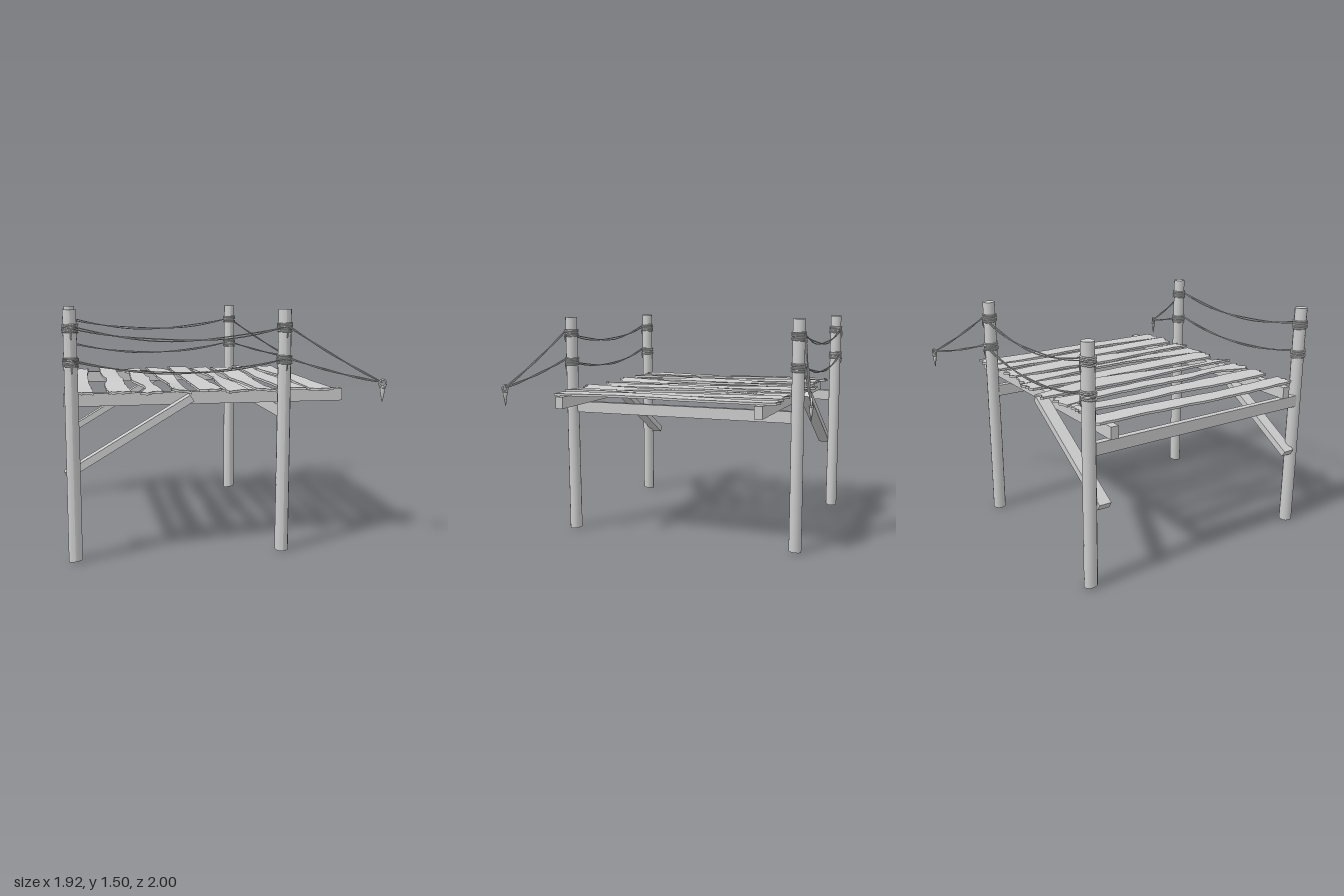
import * as THREE from 'three';

const MID = 0.022; // z centre line of the timber frame
const POST_X = [-0.91, 0.367];
const V = (x, y, z) => new THREE.Vector3(x, y, z);
// repeatable noise in -1..1
const noise = (a, b = 0, c = 0) => {
  const s = Math.sin(a * 12.99 + b * 78.23 + c * 37.72 + 1.3) * 43758.55;
  return (s - Math.floor(s)) * 2 - 1;
};

export function createModel() {
  const model = new THREE.Group();
  const wood = new THREE.MeshStandardMaterial({ color: 0xcccccc });
  const rope = new THREE.MeshStandardMaterial({ color: 0xcccccc });

  const add = (name, geometry, x = 0, y = 0, z = 0, material = wood, parent = model) => {
    const mesh = new THREE.Mesh(geometry, material);
    mesh.name = name;
    mesh.position.set(x, y, z);
    parent.add(mesh);
    return mesh;
  };

  const tube = (name, points, radius, parent) => add(name,
    new THREE.TubeGeometry(new THREE.CatmullRomCurve3(points), 24, radius, 6), 0, 0, 0, rope, parent);

  // Two loosely crossing strands between two points
  const strands = (name, a, b, sag, spread, parent) => {
    for (const k of [-1, 1]) {
      const points = [];
      for (let i = 0; i <= 10; i++) {
        const t = i / 10, p = a.clone().lerp(b, t), hang = 4 * t * (1 - t);
        p.y -= sag * hang;
        p.y += k * spread * Math.cos(t * 8);
        p.z += k * 0.004 * Math.sin(t * 8);
        points.push(p);
      }
      tube(name, points, 0.0038, parent);
    }
  };

  // Round posts, slightly uneven, with a worn foot
  const post = (x, z, id) => {
    const g = new THREE.CylinderGeometry(0.04, 0.042, 1.5, 14, 6);
    const p = g.attributes.position;
    for (let i = 0; i < p.count; i++) {
      const y = p.getY(i), a = Math.atan2(p.getZ(i), p.getX(i));
      const r = 1 + 0.03 * Math.sin(3 * a + id) * Math.cos(y * 3 + id);
      p.setX(i, p.getX(i) * r);
      p.setZ(i, p.getZ(i) * r);
      if (y < -0.74) p.setY(i, y + 0.006 * (1 + Math.sin(a + id)));
    }
    g.computeVertexNormals();
    add('post', g, x, 0.75, z);
  };

  // Rope wound round a post, with a short hanging tail
  const binding = (x, y, z, side, id) => {
    const group = new THREE.Group();
    group.name = 'ropeBinding';
    for (let i = 0; i < 5; i++) {
      const coil = add('ropeCoil', new THREE.TorusGeometry(0.044, 0.0055, 6, 20),
        x, y - 0.024 + i * 0.011, z, rope, group);
      coil.rotation.set(Math.PI / 2 + 0.1 * noise(i, id, y), 0.1 * noise(i, id, y + 1), 0);
    }
    const tz = z + side * 0.044;
    tube('ropeTail', [V(x, y, tz), V(x + 0.006, y - 0.03, tz + side * 0.006),
      V(x + 0.004, y - 0.065, tz)], 0.004, group);
    model.add(group);
  };

  // Flattened drop-shaped knot at the loose end
  const knot = (x, z, side) => {
    const group = new THREE.Group();
    group.name = 'ropeKnot';
    const profile = [[0, 0.945], [0.006, 0.965], [0.012, 1.0], [0.017, 1.03], [0.011, 1.045], [0, 1.048]];
    const drop = add('knotTail', new THREE.LatheGeometry(
      profile.map(([r, y]) => new THREE.Vector2(r, y)), 10), 0, 0, 0, rope, group);
    drop.scale.z = 0.7;
    add('knotLoop', new THREE.TorusGeometry(0.021, 0.006, 6, 18), 0, 1.06, 0, rope, group);
    const wrap = add('knotWrap', new THREE.TorusGeometry(0.015, 0.005, 6, 14), 0, 1.035, 0, rope, group);
    wrap.rotation.x = Math.PI / 2;
    wrap.scale.y = 0.8;
    group.position.set(x, 0, z);
    group.rotation.y = -side * 0.25;
    model.add(group);
  };

  for (const side of [-1, 1]) {
    const postZ = MID - 0.004 + side * 0.8;
    POST_X.forEach((x, i) => {
      post(x, postZ, i * 2 + side);
      for (const y of [1.395, 1.2]) binding(x, y, postZ, side, i * 2 + side);
    });

    // Long beam under the planks
    add('longBeam', new THREE.BoxGeometry(1.74, 0.077, 0.052), -0.09, 0.9615, MID + side * 0.664);

    // Diagonal brace, rear post to long beam
    const brace = add('brace', new THREE.BoxGeometry(0.88, 0.045, 0.08), -0.572, 0.745, MID + side * 0.73);
    brace.rotation.z = Math.atan2(0.445, 0.75);

    // Hand ropes and the loose ropes beyond the deck
    const ropeZ = MID + side * 0.845;
    const end = V(0.93, 1.065, side * 0.982);
    for (const y of [1.4, 1.21]) {
      strands('handRope', V(-0.9, y, ropeZ), V(0.36, y - 0.005, ropeZ), 0.078, y > 1.3 ? 0.007 : 0.005);
      strands('looseRope', V(0.375, y, ropeZ), end, 0.012, 0.004);
    }
    knot(0.932, side * 0.985, side);
  }

  // Cross beams between the posts
  for (const x of [-0.928, 0.357]) {
    add('crossBeam', new THREE.BoxGeometry(0.04, 0.075, 1.555), x, 0.882, MID);
  }

  // Planks: back z, front z, twist, left edge x and right edge x from back to front
  const planks = [
    [-0.72, 0.77, 0.002, [-0.9, -0.905, -0.91, -0.915, -0.92], [-0.775, -0.785, -0.795, -0.79, -0.78]],
    [-0.71, 0.77, -0.004, [-0.685, -0.69, -0.665, -0.7, -0.69], [-0.565, -0.565, -0.555, -0.57, -0.555]],
    [-0.715, 0.77, 0.006, [-0.51, -0.475, -0.485, -0.505, -0.5, -0.45, -0.5], [-0.37, -0.38, -0.375, -0.365, -0.385, -0.37, -0.365]],
    [-0.75, 0.745, -0.012, [-0.315, -0.3, -0.29, -0.285, -0.315], [-0.23, -0.19, -0.19, -0.2, -0.19]],
    [-0.74, 0.75, 0.003, [-0.143, -0.143, -0.132, -0.138, -0.143], [0.005, 0, -0.005, -0.01, 0]],
    [-0.71, 0.775, -0.005, [0.03, 0.06, 0.06, 0.035, 0.03], [0.16, 0.155, 0.138, 0.165, 0.16]],
    [-0.7, 0.775, 0.008, [0.195, 0.212, 0.2, 0.215, 0.2], [0.34, 0.338, 0.328, 0.322, 0.338]],
    [-0.72, 0.77, -0.003, [0.385, 0.397, 0.385, 0.39, 0.38], [0.52, 0.513, 0.528, 0.513, 0.523]],
    [-0.72, 0.76, 0.002, [0.56, 0.56, 0.566, 0.555, 0.56], [0.705, 0.693, 0.698, 0.688, 0.703]],
  ];
  const edge = values => new THREE.SplineCurve(values.map((x, i) => new THREE.Vector2(x, i)));
  planks.forEach(([back, front, twist, left, right], n) => {
    const g = new THREE.BoxGeometry(1, 1, 1, 8, 1, 24);
    const p = g.attributes.position, le = edge(left), re = edge(right);
    for (let i = 0; i < p.count; i++) {
      const u = p.getX(i) + 0.5, t = p.getZ(i) + 0.5;
      const col = Math.round(u * 8), row = Math.round(t * 24);
      // ragged long edges
      const l = le.getPoint(t).x + 0.004 * noise(n, row, 1);
      const r = re.getPoint(t).x + 0.004 * noise(n, row, 2);
      // splintered ends
      let z = back + (front - back) * t;
      if (row === 0 || row === 24) z += 0.022 * noise(n, col, row);
      // gentle bow and twist
      const bow = 0.004 * Math.sin(t * 7 + n * 2) + twist * (u - 0.5) * 2 * Math.sin(t * 5 + n);
      p.setXYZ(i, l + (r - l) * u, 1.006 + bow + p.getY(i) * 0.015, z);
    }
    g.computeVertexNormals();
    add('plank', g);
  });

  return model;
}
